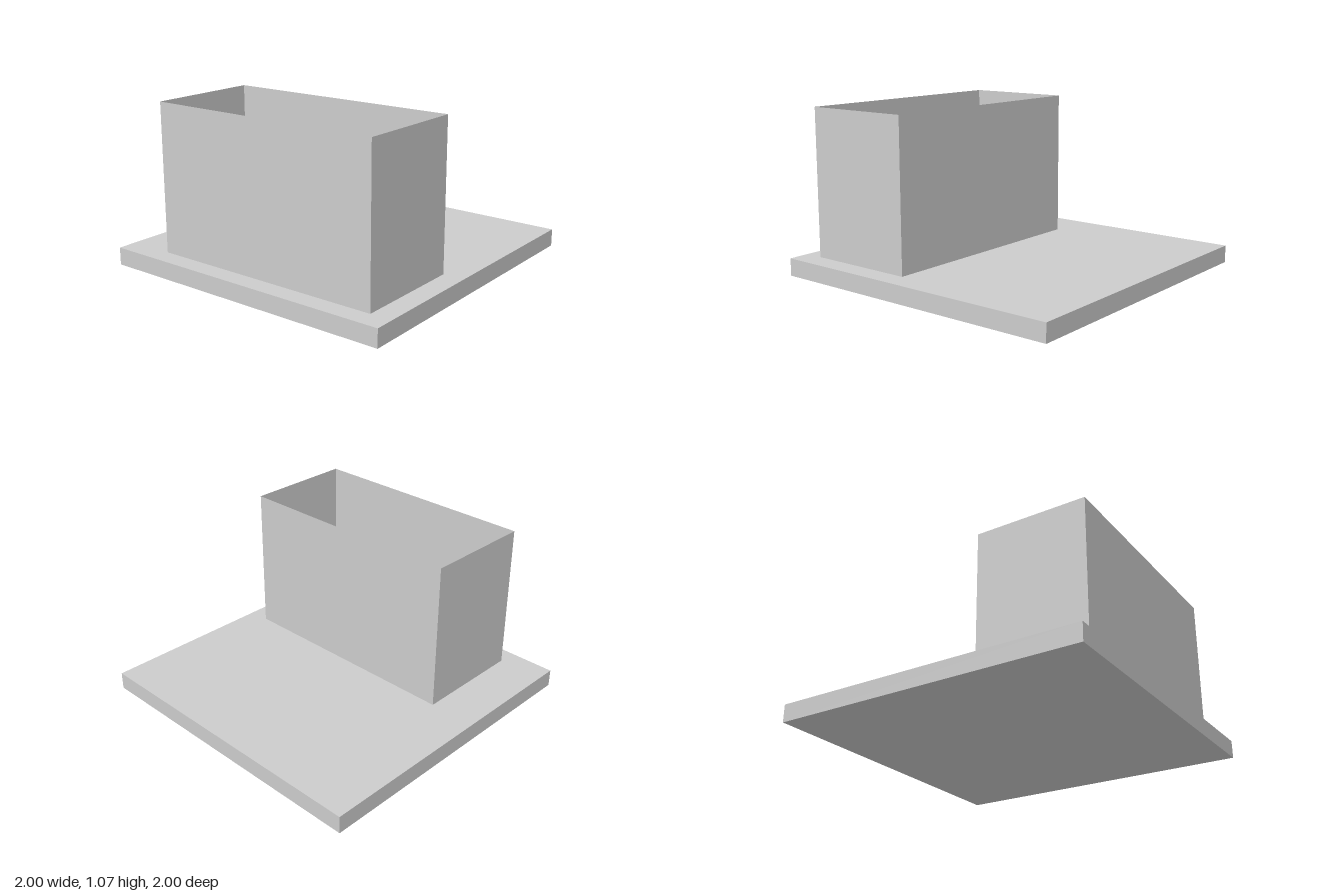
import * as THREE from 'three';

export function createModel() {
  const model = new THREE.Group();
  const material = new THREE.MeshStandardMaterial({ color: 0xcccccc, flatShading: true });
  const sheet = new THREE.MeshStandardMaterial({ color: 0xcccccc, flatShading: true, side: THREE.DoubleSide });

  // Square base slab
  const baseHeight = 0.113;
  const base = new THREE.Mesh(new THREE.BoxGeometry(2, baseHeight, 2), material);
  base.name = 'baseSlab';
  base.position.y = baseHeight / 2;
  model.add(base);

  // Open-topped enclosure made of four thin walls standing on the slab
  const width = 1.557, depth = 0.725, height = 0.952;
  const enclosure = new THREE.Group();
  enclosure.name = 'openEnclosure';
  enclosure.position.set(0.084, baseHeight + height / 2, 0.513);
  ['frontWall', 'leftWall', 'backWall', 'rightWall'].forEach((name, i) => {
    const [length, offset] = i % 2 ? [depth, width / 2] : [width, depth / 2];
    const wall = new THREE.Mesh(new THREE.PlaneGeometry(length, height), sheet);
    wall.name = name;
    wall.rotation.y = (i * Math.PI) / 2;
    wall.translateZ(offset);
    enclosure.add(wall);
  });
  model.add(enclosure);

  return model;
}
